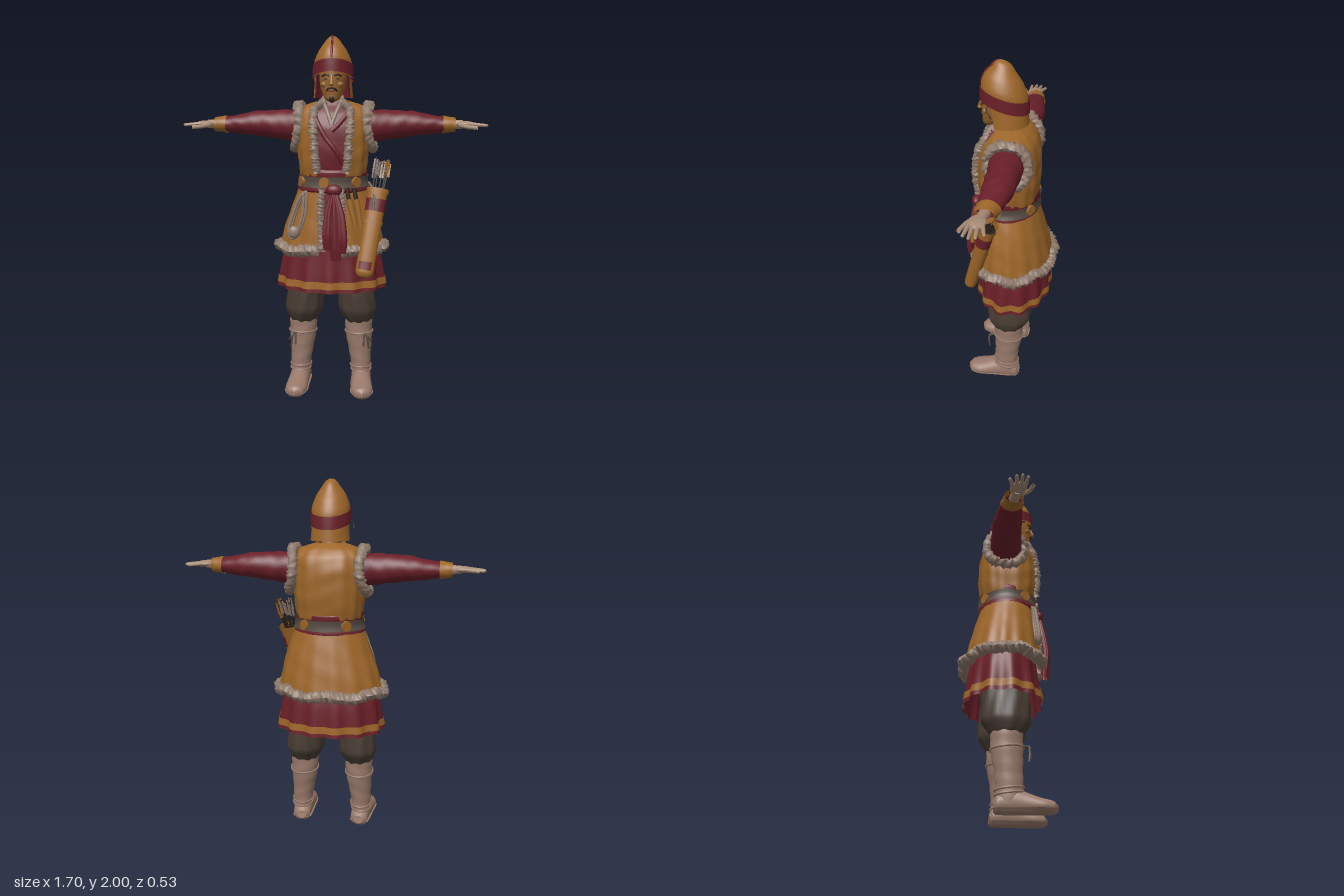
import * as THREE from 'three';

const TAU = Math.PI * 2;
const mat = (name, color) => {
  const m = new THREE.MeshStandardMaterial({ color, side: THREE.DoubleSide });
  m.name = name;
  return m;
};
const V = (x, y, z) => new THREE.Vector3(x, y, z);

// Monotone interpolation of ring values [y, rx, rz, cx, cz]
function ringAt(rings, y) {
  let i = 0;
  while (i < rings.length - 2 && y > rings[i + 1][0]) i++;
  const slope = (j, c) => (rings[j + 1][c] - rings[j][c]) / (rings[j + 1][0] - rings[j][0]);
  const tangent = (j, c) => {
    if (j === 0) return slope(0, c);
    if (j === rings.length - 1) return slope(j - 1, c);
    const a = slope(j - 1, c), b = slope(j, c);
    return a * b > 0 ? (2 * a * b) / (a + b) : 0;
  };
  const h = rings[i + 1][0] - rings[i][0];
  const t = THREE.MathUtils.clamp((y - rings[i][0]) / h, 0, 1), t2 = t * t, t3 = t2 * t;
  return [1, 2, 3, 4].map((c) => (2 * t3 - 3 * t2 + 1) * rings[i][c] + (t3 - 2 * t2 + t) * h * tangent(i, c)
    + (3 * t2 - 2 * t3) * rings[i + 1][c] + (t3 - t2) * h * tangent(i + 1, c));
}

// A form is a stack of rings with optional squareness and ripple
const form = (rings, ripple = () => 1, e = 1) => ({
  rings: rings.map((r) => [r[0], r[1], r[2], r[3] || 0, r[4] || 0]), ripple, e,
});
// Point on a form; angle 0 is the front, positive turns towards +x
function at(f, y, a, off = 0) {
  const [rx, rz, cx, cz] = ringAt(f.rings, y), w = f.ripple(a, y);
  const p = (v) => Math.sign(v) * Math.pow(Math.abs(v), f.e);
  return V(cx + (rx + off) * w * p(Math.sin(a)), y, cz + (rz + off) * w * p(Math.cos(a)));
}
function loft(f, { y0 = f.rings[0][0], y1 = f.rings.at(-1)[0], a0 = 0, a1 = TAU, off = 0, n = 48, k = 5 } = {}) {
  const ys = [y0];
  for (let i = 0; i < f.rings.length - 1; i++) for (let s = 0; s < k; s++) {
    const y = THREE.MathUtils.lerp(f.rings[i][0], f.rings[i + 1][0], s / k);
    if (y > y0 + 1e-4 && y < y1 - 1e-4) ys.push(y);
  }
  ys.push(y1);
  const closed = a1 - a0 > TAU - 1e-3, cols = closed ? n : n + 1, pos = [], idx = [];
  ys.forEach((y, j) => {
    for (let i = 0; i < cols; i++) pos.push(...at(f, y, a0 + ((a1 - a0) * i) / n, off).toArray());
    if (j) for (let i = 0; i < n; i++) {
      const a = (j - 1) * cols + i, b = (j - 1) * cols + ((i + 1) % cols);
      idx.push(a, b, b + cols, a, b + cols, a + cols);
    }
  });
  const g = new THREE.BufferGeometry();
  g.setAttribute('position', new THREE.Float32BufferAttribute(pos, 3));
  g.setIndex(idx);
  g.computeVertexNormals();
  return g;
}
function warp(g, fn) {
  const p = g.attributes.position, v = V(0, 0, 0);
  for (let i = 0; i < p.count; i++) { v.fromBufferAttribute(p, i); fn(v, i); p.setXYZ(i, v.x, v.y, v.z); }
  g.computeVertexNormals();
  return g;
}
function mirror(g) {
  const m = g.clone().scale(-1, 1, 1), ix = m.index.array;
  for (let i = 0; i < ix.length; i += 3) [ix[i], ix[i + 1]] = [ix[i + 1], ix[i]];
  m.computeVertexNormals();
  return m;
}
const tube = (pts, r, closed = false, seg = 40, sides = 8) =>
  new THREE.TubeGeometry(new THREE.CatmullRomCurve3(pts, closed), seg, r, sides, closed);
// Lumpy fur roll along a path
function fur(pts, r, closed = false, seg = 70) {
  const g = tube(pts, r, closed, seg, 9), nor = g.attributes.normal.clone();
  return warp(g, (v, i) => {
    const q = [v.x, v.y, v.z].map((c) => Math.round(c * 1000));
    const h = Math.abs(Math.sin(q[0] * 12.99 + q[1] * 78.23 + q[2] * 37.72) * 43758.5) % 1;
    v.addScaledVector(V(nor.getX(i), nor.getY(i), nor.getZ(i)), r * (h - 0.45) * 0.75);
  });
}
const steps = (n, fn) => Array.from({ length: n }, (_, i) => fn(i / (n - 1), i));
const loop = (n, fn) => Array.from({ length: n }, (_, i) => fn((i / n) * TAU));
const ball = (rx, ry, rz, x, y, z) => new THREE.SphereGeometry(1, 18, 12).scale(rx, ry, rz).translate(x, y, z);
const rod = (a, b, r0, r1 = r0, sides = 10) => {
  const d = b.clone().sub(a), g = new THREE.CylinderGeometry(r1, r0, d.length(), sides);
  g.applyQuaternion(new THREE.Quaternion().setFromUnitVectors(V(0, 1, 0), d.clone().normalize()));
  return g.translate(...a.clone().add(b).multiplyScalar(0.5).toArray());
};

export function createModel() {
  const root = new THREE.Group();
  const ochre = mat('ochre cloth', 0x9c6528), red = mat('dark red cloth', 0x6a1f28), furM = mat('fur', 0x8f7a6c);
  const boot = mat('boot leather', 0x98796a), trouser = mat('dark trousers', 0x483c33), belt = mat('belt leather', 0x554a42);
  const skin = mat('face skin', 0x93602c), hand = mat('hand skin', 0xa58974), dark = mat('hair', 0x2c221c);
  const add = (name, geo, m, parent = root) => {
    const o = new THREE.Mesh(geo, m);
    o.name = name;
    parent.add(o);
    return o;
  };
  const pair = (name, geo, m, parent = root) => {
    add('left ' + name, geo, m, parent);
    add('right ' + name, mirror(geo), m, parent);
  };

  // Torso: robe underneath, open quilted vest above
  const quilt = (a, y) => 1 + 0.014 * Math.cos(a * 14) + 0.007 * Math.sin(y * 60 + 2 * Math.sin(a * 3));
  const torso = form([[1.2, 0.172, 0.142], [1.27, 0.186, 0.158], [1.38, 0.197, 0.17], [1.5, 0.2, 0.165, 0, -0.002],
    [1.58, 0.197, 0.14, 0, -0.008], [1.625, 0.17, 0.105, 0, -0.01], [1.66, 0.07, 0.068, 0, 0.005]], quilt, 0.84);
  add('robe chest', loft(torso, { off: -0.008 }), red);
  add('vest body', loft(torso, { y0: 1.25, a0: 0.36, a1: TAU - 0.36, n: 72 }), ochre);
  pair('vest front fur', fur(steps(9, (t) => at(torso, 1.27 + t * 0.385, 0.36 + 0.1 * t, 0.004)), 0.021), furM);
  pair('armhole fur', fur(loop(14, (a) => V(0.207 - 0.024 * Math.sin(a) ** 2 - 0.012 * Math.cos(a),
    1.515 + 0.118 * Math.cos(a), -0.026 + 0.108 * Math.sin(a))), 0.026, true), furM);
  // Crossed collars
  add('robe lapel', tube(steps(8, (t) => at(torso, 1.645 - t * 0.33, -0.6 + t * 0.88, 0.002)), 0.013), red);
  add('robe under lapel', tube(steps(6, (t) => at(torso, 1.645 - t * 0.15, 0.6 - t * 0.6, 0)), 0.013), red);
  pair('shirt collar', tube([V(0, 1.53, 0.152), V(0.02, 1.585, 0.13), V(0.042, 1.64, 0.088), V(0.05, 1.675, 0.04), V(0, 1.685, -0.05)], 0.011), furM);

  // Robe skirt with pleats and hem stripe
  const pleat = (a, y) => 1 + 0.045 * THREE.MathUtils.clamp((1 - y) / 0.4, 0, 1) * Math.cos(a * 13 + Math.sin(a * 2));
  const robe = form([[0.6, 0.305, 0.21, -0.01, -0.03], [0.75, 0.285, 0.195, -0.01, -0.03], [0.9, 0.248, 0.175, -0.005, -0.02],
    [1.05, 0.21, 0.155, 0, -0.01], [1.22, 0.165, 0.138]], pleat);
  add('robe skirt', loft(robe, { n: 110 }), red);
  add('robe hem stripe', loft(robe, { y0: 0.622, y1: 0.662, off: 0.004, n: 110 }), ochre);

  // Vest skirt with fur edges
  const skirt = form([[0.83, 0.298, 0.217, -0.012, -0.028], [0.95, 0.272, 0.2, -0.008, -0.022], [1.08, 0.232, 0.178, 0, -0.012],
    [1.22, 0.18, 0.15]], (a, y) => 1 + 0.02 * (1.22 - y) / 0.4 * Math.cos(a * 15) + 0.005 * Math.sin(y * 50 + a * 5));
  const gap = 0.21;
  add('vest skirt', loft(skirt, { a0: gap, a1: TAU - gap, n: 110 }), ochre);
  add('vest hem fur', fur(steps(40, (t) => at(skirt, 0.838 + 0.008 * Math.sin(t * 40), gap + t * (TAU - 2 * gap), 0.002)), 0.029, false, 200), furM);
  pair('vest skirt front fur', fur(steps(8, (t) => at(skirt, 0.84 + t * 0.35, gap + 0.06 * t, 0.004)), 0.018), furM);

  // Sash, belt, discs and hanging tails
  const waist = form([[1.16, 0.192, 0.158], [1.17, 0.2, 0.166], [1.22, 0.184, 0.16], [1.27, 0.19, 0.163], [1.285, 0.182, 0.154]]);
  add('waist sash', loft(waist), red);
  add('belt', loft(waist, { y0: 1.188, y1: 1.247, off: 0.01 }), belt);
  [-1.05, -0.2, 0.75, 2.5, -2.5].forEach((a) => {
    const p = at(waist, 1.218, a, 0.012);
    add('belt disc', new THREE.CylinderGeometry(0.028, 0.03, 0.016, 20).rotateX(Math.PI / 2).rotateY(a).translate(p.x, p.y, p.z), ochre);
  });
  add('sash knot', ball(0.045, 0.032, 0.028, 0.015, 1.18, 0.185), red);
  [[-0.012, 0.86], [0.028, 0.8], [0.06, 0.84]].forEach(([x, y], i) => {
    const tail = form([[y, 0.024, 0.018, x, 0.217], [y + 0.07, 0.03, 0.02, x, 0.222], [1.02, 0.026, 0.018, x * 0.9, 0.212],
      [1.19, 0.014, 0.014, 0.015, 0.185]], (a) => 1 + 0.14 * Math.cos(a * 5 + i));
    add('sash tail', loft(tail, { n: 30 }), red);
  });

  // Sleeves, cuffs and hands, lofted along x
  const crease = (a, y) => 1 + 0.022 * Math.sin(y * 75 + 2.5 * Math.sin(a * 2)) + 0.015 * Math.sin(y * 41 + a * 3);
  const arm = form([[0.12, 0.08, 0.085, -1.52, -0.025], [0.22, 0.088, 0.09, -1.52, -0.025], [0.32, 0.08, 0.083, -1.525, -0.032],
    [0.44, 0.069, 0.079, -1.53, -0.036], [0.54, 0.053, 0.065, -1.526, -0.032], [0.63, 0.04, 0.052, -1.525, -0.026],
    [0.68, 0.034, 0.044, -1.525, -0.022]], crease);
  const alongX = (g) => g.rotateZ(Math.PI / 2).scale(-1, 1, 1);
  const limb = (o) => { // axis turned to -x, then mirrored for the left side
    const g = loft(arm, o);
    g.rotateZ(-Math.PI / 2);
    return g;
  };
  pair('sleeve', limb({ y1: 0.615, n: 36 }), red);
  pair('cuff', limb({ y0: 0.605, y1: 0.672, off: 0.005, n: 30 }), ochre);
  pair('wrist', rod(V(0.64, 1.525, -0.022), V(0.715, 1.527, -0.012), 0.028, 0.023).scale(1, 1, 1), hand);
  pair('palm', ball(0.055, 0.018, 0.044, 0.725, 1.528, -0.006), hand);
  [[-0.036, -0.058, 0.815], [-0.015, -0.026, 0.842], [0.006, 0.003, 0.85], [0.024, 0.032, 0.838]].forEach(([z0, z1, x]) => {
    pair('finger', rod(V(0.745, 1.529, z0), V(x - 0.006, 1.522, z1), 0.012, 0.008), hand);
    pair('fingertip', ball(0.009, 0.008, 0.008, x - 0.009, 1.522, z1), hand);
  });
  pair('thumb', tube([V(0.69, 1.524, 0.015), V(0.73, 1.515, 0.046), V(0.785, 1.51, 0.064)], 0.011), hand);

  // Head and face
  add('neck', rod(V(0, 1.6, 0.0), V(0, 1.72, 0.03), 0.055, 0.05, 20), skin);
  add('head', loft(form([[1.645, 0.004, 0.004, 0, 0.11], [1.655, 0.026, 0.026, 0, 0.108], [1.685, 0.051, 0.062, 0, 0.08],
    [1.73, 0.067, 0.087, 0, 0.058], [1.78, 0.073, 0.097, 0, 0.048], [1.84, 0.07, 0.095, 0, 0.045]])), skin);
  add('nose', tube([V(0, 1.788, 0.142), V(0, 1.765, 0.152), V(0, 1.745, 0.16)], 0.009), skin);
  add('nose tip', ball(0.015, 0.01, 0.013, 0, 1.742, 0.157), skin);
  pair('brow', tube([V(0.012, 1.785, 0.147), V(0.032, 1.792, 0.14), V(0.052, 1.784, 0.122)], 0.0045), dark);
  pair('eye', ball(0.012, 0.004, 0.005, 0.03, 1.771, 0.136), dark);
  pair('cheek', ball(0.024, 0.017, 0.016, 0.038, 1.741, 0.118), skin);
  pair('moustache', tube([V(0, 1.722, 0.148), V(0.018, 1.718, 0.143), V(0.03, 1.7, 0.126)], 0.005), dark);
  add('mouth', ball(0.018, 0.005, 0.007, 0, 1.708, 0.14), red);
  add('chin beard', ball(0.016, 0.024, 0.014, 0, 1.668, 0.131), dark);
  pair('side hair', tube([V(0.078, 1.8, 0.08), V(0.1, 1.775, 0.1), V(0.118, 1.76, 0.085), V(0.122, 1.735, 0.07)], 0.003), dark);

  // Pointed hat: crown, slanted band, seam and lined neck flap
  const slant = (g) => warp(g, (v) => { v.y += (v.z - 0.025) * 0.3; });
  const crown = form([[1.77, 0.106, 0.124, 0, 0.025], [1.84, 0.105, 0.12, 0, 0.025], [1.9, 0.086, 0.099, 0, 0.026],
    [1.95, 0.054, 0.062, 0, 0.026], [1.985, 0.027, 0.036, 0, 0.027], [1.998, 0.002, 0.004, 0, 0.028]]);
  add('hat crown', slant(loft(crown)), ochre);
  add('hat band', slant(loft(crown, { y0: 1.77, y1: 1.838, off: 0.006 })), red);
  add('hat seam', slant(tube(steps(7, (t) => at(crown, 1.84 + t * 0.15, 0, 0.0)), 0.006)), red);
  const flap = form([[1.67, 0.109, 0.112, 0, 0.01], [1.73, 0.104, 0.114, 0, 0.017], [1.8, 0.1, 0.116, 0, 0.025]]);
  add('hat neck flap', loft(flap, { a0: 1.1, a1: TAU - 1.1 }), ochre);
  add('hat flap lining', loft(flap, { a0: 1.06, a1: TAU - 1.06, off: -0.006 }), red);

  // Legs: baggy trousers and tied boots
  const legs = new THREE.Group();
  legs.name = 'legs';
  legs.position.x = -0.016;
  root.add(legs);
  add('trouser seat', loft(form([[0.58, 0.06, 0.06, 0, -0.02], [0.62, 0.17, 0.13, 0, -0.02], [0.8, 0.19, 0.14, 0, -0.02]])), trouser, legs);
  pair('trouser leg', loft(form([[0.385, 0.07, 0.075, 0.162, -0.02], [0.42, 0.09, 0.1, 0.16, -0.02], [0.48, 0.108, 0.13, 0.155, -0.024],
    [0.57, 0.103, 0.128, 0.148, -0.022], [0.7, 0.095, 0.12, 0.115, -0.02]], (a, y) => 1 + 0.03 * Math.cos(a * 9 + y * 14))), trouser, legs);
  const shaft = form([[0.04, 0.054, 0.07, 0.18, -0.012], [0.11, 0.056, 0.07, 0.178, -0.008], [0.2, 0.064, 0.072, 0.172, -0.012],
    [0.32, 0.077, 0.084, 0.164, -0.02], [0.41, 0.08, 0.085, 0.162, -0.021], [0.412, 0.07, 0.075, 0.162, -0.021]],
  (a, y) => 1 + 0.018 * Math.sin(y * 80 + 2 * Math.sin(a)));
  pair('boot shaft', loft(shaft), boot, legs);
  const foot = form([[-0.088, 0.028, 0.025, 0, -0.035], [-0.07, 0.05, 0.05, 0, -0.043], [0, 0.056, 0.075, 0, -0.055], [0.07, 0.058, 0.06, 0, -0.045],
    [0.15, 0.062, 0.042, 0, -0.034], [0.205, 0.047, 0.032, 0, -0.03], [0.23, 0.004, 0.012, 0, -0.028]]);
  const footPart = (off, lo, hi) => warp(loft(foot, { off, n: 32 }).rotateX(Math.PI / 2), (v) => {
    v.y = THREE.MathUtils.clamp(v.y, lo, hi);
  }).rotateY(0.06).translate(0.178, 0, 0);
  pair('boot foot', footPart(0, 0.003, 1), boot, legs);
  pair('boot sole', footPart(0.004, 0, 0.02), boot, legs);
  [0.095, 0.12, 0.325].forEach((y) => pair('boot strap', tube(loop(16, (a) => at(shaft, y + 0.008 * Math.cos(a), a, 0.003)), 0.006, true, 48, 6), boot, legs));
  [[0.235, 0.295, 0.085], [0.195, 0.27, 0.1], [0.225, 0.25, 0.085]].forEach(([x, y, z]) =>
    pair('boot tie', tube([V(0.2, 0.33, 0.062), V((x + 0.2) / 2, 0.325, 0.088), V(x, y, z)], 0.005, false, 12, 6), belt, legs));

  // Coiled rope on the right hip
  [0, 1].forEach((i) => add('rope coil', tube(loop(14, (a) => {
    const p = at(skirt, 1.04 + 0.125 * Math.cos(a), -0.72, 0.018 + 0.012 * i);
    return V(p.x + (0.018 + 0.018 * (1 - Math.cos(a)) / 2) * Math.sin(a) - 0.008 * i, p.y - 0.012 * i, p.z);
  }), 0.009, true, 60), furM));
  const coil = at(skirt, 0.94, -0.72, 0.03);
  add('rope knot', ball(0.033, 0.036, 0.022, coil.x, coil.y, coil.z), furM);

  // Knife sheaths on the left hip
  [[0.095, 0.13], [0.135, 0.16]].forEach(([x0, x1]) => {
    add('knife sheath', rod(V(x1, 0.99, 0.182), V(x0, 1.13, 0.165), 0.012, 0.019), ochre);
    add('knife handle', rod(V(x0, 1.13, 0.165), V(x0 - 0.012, 1.19, 0.16), 0.012), dark);
  });

  // Quiver, slung across the left hip, with arrows
  const quiver = new THREE.Group();
  quiver.name = 'quiver';
  quiver.position.set(0.178, 0.7, 0.2);
  quiver.quaternion.setFromUnitVectors(V(0, 1, 0), V(0.075, 0.48, -0.14).normalize());
  root.add(quiver);
  const caseForm = form([[0, 0.006, 0.005], [0.008, 0.035, 0.026], [0.035, 0.05, 0.037], [0.25, 0.051, 0.04], [0.4, 0.053, 0.042], [0.5, 0.058, 0.046]], undefined, 0.85);
  add('quiver case', loft(caseForm, { n: 32 }), ochre, quiver);
  add('quiver upper panel', loft(caseForm, { y0: 0.37, y1: 0.44, off: 0.003, n: 32, a0: -1.3, a1: 2.6 }), red, quiver);
  add('quiver lower patch', loft(caseForm, { y0: 0.045, y1: 0.09, off: 0.003, n: 16, a0: -0.7, a1: 0.6 }), red, quiver);
  [0.3, 0.48].forEach((y) => add('quiver rim', loft(caseForm, { y0: y, y1: y + 0.018, off: 0.005, n: 32 }), ochre, quiver));
  add('quiver lining', ball(0.054, 0.006, 0.042, 0, 0.47, 0), dark, quiver);
  loop(9, (a) => {
    const x = 0.035 * Math.cos(a), z = 0.025 * Math.sin(a), top = 0.655 + 0.018 * Math.sin(a * 3);
    add('arrow shaft', rod(V(x * 0.7, 0.42, z * 0.7), V(x * 1.15, top, z * 1.15), 0.005, 0.005, 6), dark, quiver);
    [0, 1].forEach((i) => add('arrow feather', new THREE.BoxGeometry(0.024, 0.075, 0.003).rotateY(a + i * Math.PI / 2)
      .translate(x * 1.1, top - 0.045, z * 1.1), Math.cos(a) > 0.2 ? ochre : furM, quiver));
  });
  add('quiver strap', tube([V(0.2, 1.21, 0.06), V(0.23, 1.16, 0.1), V(0.225, 1.07, 0.135)], 0.01), belt);
  return root;
}
